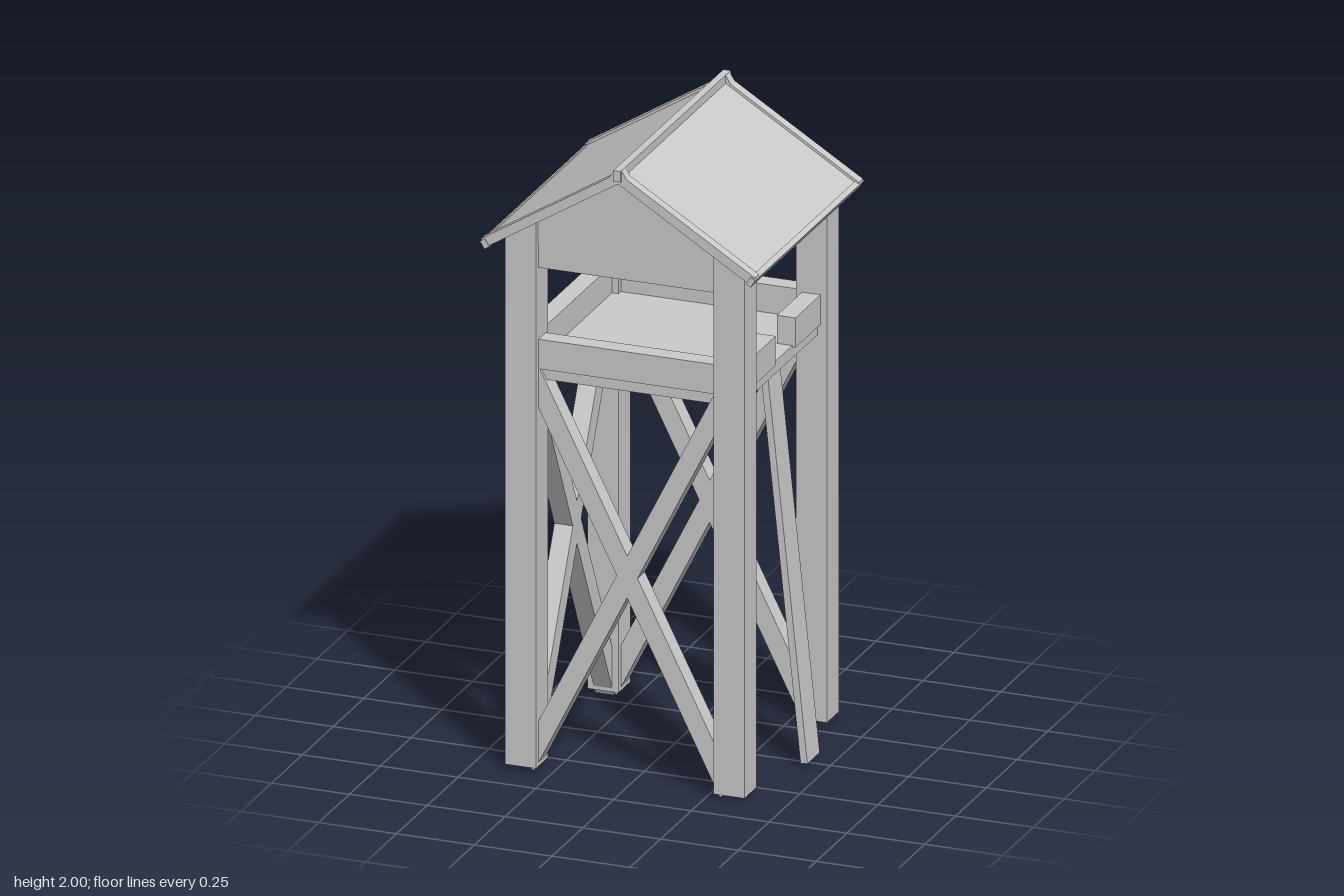
import * as THREE from 'three';

const material = new THREE.MeshStandardMaterial({ color: 0xcccccc, flatShading: true });
const LEG = 0.335;        // distance of the leg centres from the axis
const PITCH = Math.atan(0.62);
const UNDERSIDE = 1.955;  // height of the roof underside at the ridge

// box given by its two extreme corners
function box(parent, name, x0, x1, y0, y1, z0, z1) {
  const mesh = new THREE.Mesh(new THREE.BoxGeometry(x1 - x0, y1 - y0, z1 - z0), material);
  mesh.position.set((x0 + x1) / 2, (y0 + y1) / 2, (z0 + z1) / 2);
  mesh.name = name;
  parent.add(mesh);
  return mesh;
}

// outline in x and y, extruded along z
function prism(parent, name, points, z0, z1) {
  const shape = new THREE.Shape(points.map(([x, y]) => new THREE.Vector2(x, y)));
  const geometry = new THREE.ExtrudeGeometry(shape, { depth: z1 - z0, bevelEnabled: false });
  geometry.translate(0, 0, z0);
  const mesh = new THREE.Mesh(geometry, material);
  mesh.name = name;
  parent.add(mesh);
}

const roofY = x => UNDERSIDE - 0.62 * Math.abs(x);

export function createModel() {
  const model = new THREE.Group();
  model.name = 'watchtower';
  const tower = new THREE.Group();
  tower.name = 'tower';
  tower.position.x = -0.01;
  model.add(tower);

  // four posts, cut to the roof slope at the top
  for (const sx of [-1, 1]) {
    const inner = sx * 0.285, outer = sx * 0.385;
    for (const z of [-LEG, LEG]) {
      prism(tower, 'leg', [[inner, 0.02], [outer, 0.02], [outer, roofY(outer)], [inner, roofY(inner)]], z - 0.05, z + 0.05);
    }
  }

  // front, left, back and right sides; the +x side is the open entrance
  for (let i = 0; i < 4; i++) {
    const side = new THREE.Group();
    side.name = 'sideFrame';
    side.rotation.y = i * Math.PI / 2;
    tower.add(side);
    box(side, 'topBeam', -0.3, 0.3, 1.62, 1.705, LEG - 0.03, LEG + 0.03);
    if (i === 1) {
      for (const s of [-1, 1]) {
        const a = s * 0.08, b = s * 0.3;
        box(side, 'entranceRail', Math.min(a, b), Math.max(a, b), 1.295, 1.39, LEG - 0.03, LEG + 0.03);
      }
      continue;
    }
    box(side, 'rail', -0.3, 0.3, 1.295, 1.39, LEG - 0.03, LEG + 0.03);
    // crossed braces ending inside the posts
    for (const s of [-1, 1]) {
      const length = 2 * Math.hypot(0.325, 0.65);
      const brace = box(side, 'crossBrace', -0.03, 0.03, -length / 2, length / 2, -0.03, 0.03);
      brace.position.set(0, 0.668, LEG);
      brace.rotation.z = s * Math.atan2(0.325, 0.65);
    }
  }

  box(tower, 'floor', -0.355, 0.355, 1.26, 1.3, -0.355, 0.355);

  // climbing plank leaning on the entrance side
  prism(model, 'climbingPlank', [[0.423, 0.018], [0.445, 0.02], [0.314, 1.28], [0.292, 1.28]], -0.05, 0.05);

  // gable body closed by a flat ceiling
  prism(tower, 'gable', [[-0.34, 1.7], [0.34, 1.7], [0.34, roofY(0.34)], [0, UNDERSIDE], [-0.34, roofY(0.34)]], -0.368, 0.368);

  // two mirrored roof slopes with gable trims and eave strips
  for (const turn of [0, Math.PI]) {
    const half = new THREE.Group();
    half.name = 'roofHalf';
    half.rotation.y = turn;
    tower.add(half);
    const slope = new THREE.Group();
    slope.name = 'roofSlope';
    slope.position.y = UNDERSIDE;
    slope.rotation.z = -PITCH;
    half.add(slope);
    box(slope, 'roofPanel', 0, 0.495, 0.002, 0.022, -0.41, 0.41);
    box(slope, 'eaveStrip', 0.487, 0.505, -0.003, 0.025, -0.443, 0.443);
    for (const s of [-1, 1]) {
      box(slope, 'gableTrim', -0.033, 0.5, 0, 0.03, s * 0.4225 - 0.0165, s * 0.4225 + 0.0165);
    }
  }
  box(tower, 'ridgeBar', -0.012, 0.012, 1.965, 2, -0.447, 0.447);

  return model;
}
